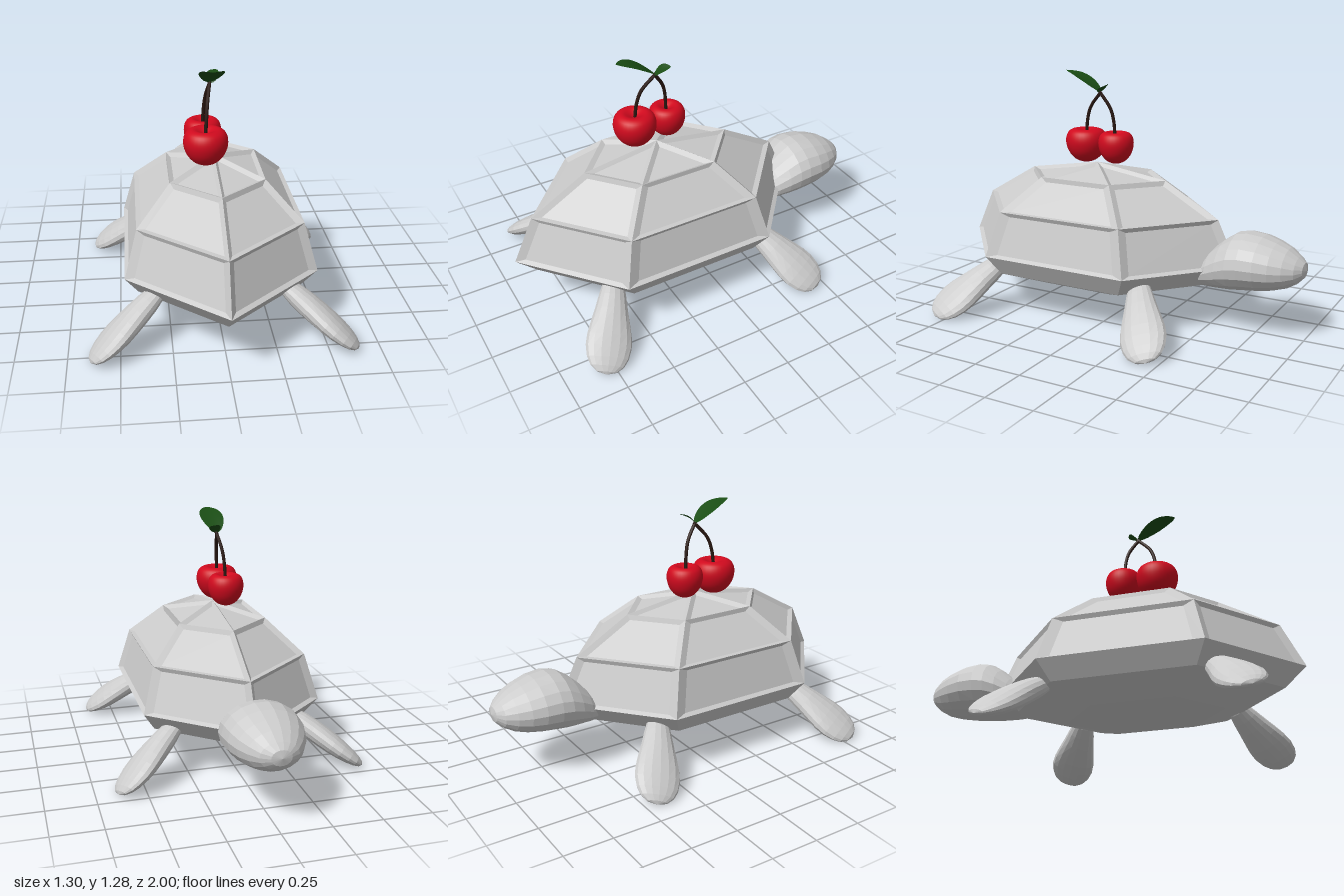
import * as THREE from 'three';

const V = (x, y, z) => new THREE.Vector3(x, y, z);
const grey = new THREE.MeshStandardMaterial({ color: 0xcccccc, flatShading: true });
const red = new THREE.MeshStandardMaterial({ color: 0xd00a1e });
const brown = new THREE.MeshStandardMaterial({ color: 0x2a1812 });
const green = new THREE.MeshStandardMaterial({ color: 0x1a4d14, side: THREE.DoubleSide });

function mesh(name, geometry, material) {
  const m = new THREE.Mesh(geometry, material);
  m.name = name;
  return m;
}

// Faceted geometry from flat polygons (corners counter-clockwise), empty triangles dropped
function polygons(faces) {
  const points = [];
  for (const f of faces)
    for (let i = 1; i < f.length - 1; i++) {
      const tri = new THREE.Triangle(f[0], f[i], f[i + 1]);
      if (tri.getArea() > 1e-9) points.push(f[0], f[i], f[i + 1]);
    }
  const g = new THREE.BufferGeometry().setFromPoints(points);
  g.computeVertexNormals();
  return g;
}

// Loft of elliptical rings along z: [z, centre y, half width, half height]
function loft(rings, sides = 18) {
  const at = ([z, cy, w, h], j) => {
    const a = (j / sides) * Math.PI * 2;
    return V(Math.cos(a) * w, cy + Math.sin(a) * h, z);
  };
  const faces = [];
  for (let r = 0; r < rings.length - 1; r++)
    for (let j = 0; j < sides; j++)
      faces.push([at(rings[r], j), at(rings[r], j + 1), at(rings[r + 1], j + 1), at(rings[r + 1], j)]);
  return polygons(faces);
}

// Six-sided dome with recessed panels above, plain facets below
function shell() {
  const corner = (row, i) => {
    const t = (row * Math.PI) / 6, a = (i * Math.PI) / 3, r = 0.82 * Math.cos(t);
    return V(0.66 * r * Math.sin(a), 0.33 + (row > 0 ? 0.47 : 0.202) * Math.sin(t), r * Math.cos(a));
  };
  const faces = [];
  for (let row = -3; row < 3; row++)
    for (let i = 0; i < 6; i++) {
      let f = [corner(row, i), corner(row, i + 1), corner(row + 1, i + 1), corner(row + 1, i)];
      if (row < 0) { faces.push(f); continue; }
      if (row === 2) f = f.slice(0, 3);
      const c = f.reduce((s, p) => s.add(p), V(0, 0, 0)).divideScalar(f.length);
      const n = new THREE.Triangle(f[0], f[1], f[2]).getNormal(V(0, 0, 0));
      const inner = f.map(p => p.clone().lerp(c, row === 2 ? 0.22 : 0.15).addScaledVector(n, -0.016));
      faces.push(inner);
      f.forEach((p, k) => {
        const m = (k + 1) % f.length;
        faces.push([p, f[m], inner[m], inner[k]]);
      });
    }
  return polygons(faces);
}

// Flattened teardrop flipper, running outward and down from the shell
function flipper(sx, sz) {
  const start = V(sx * 0.285, 0.28, 0.18 + sz * 0.405);
  const axis = V(sx * 0.355, -0.262, sz * 0.225);
  const length = axis.length();
  const profile = [[0, 0, 0], [0.03, 0.032, 0.025], [0.1, 0.056, 0.043], [0.22, 0.07, 0.053], [0.36, 0.084, 0.057],
    [0.5, 0.1, 0.056], [0.62, 0.112, 0.053], [0.73, 0.115, 0.047], [0.84, 0.104, 0.038], [0.92, 0.083, 0.028],
    [0.975, 0.05, 0.016], [1, 0, 0]];
  const g = loft(profile.map(([t, w, h]) => [t * length, 0, w, h]), 16);
  const z = axis.clone().normalize();
  const y = V(sx * 0.262, 0.355, 0).normalize();
  const x = y.clone().cross(z);
  g.applyMatrix4(new THREE.Matrix4().makeBasis(x, y, z).setPosition(start));
  return g;
}

// Round fruit with a dimpled top
function cherry(r, h) {
  const shape = [[0, 0], [0.3, 0.03], [0.6, 0.13], [0.85, 0.32], [0.98, 0.55], [0.98, 0.75], [0.87, 0.91],
    [0.68, 0.99], [0.5, 1], [0.3, 0.95], [0.12, 0.89], [0, 0.87]];
  const curve = new THREE.SplineCurve(shape.map(([x, y]) => new THREE.Vector2(x * r, y * h)));
  const pts = curve.getPoints(36);
  pts.forEach(p => { p.x = Math.max(0, p.x); });
  return new THREE.LatheGeometry(pts, 32);
}

// Thin leaf following a curve, slightly folded along its middle
function leaf(points, halfWidth, across) {
  const curve = new THREE.CatmullRomCurve3(points);
  const g = new THREE.PlaneGeometry(2, 1, 4, 14);
  const p = g.attributes.position;
  for (let i = 0; i < p.count; i++) {
    const t = p.getY(i) + 0.5, s = p.getX(i);
    const w = halfWidth * Math.pow(Math.sin(Math.PI * Math.pow(t, 0.9)), 0.7) || 0;
    const q = curve.getPoint(t).addScaledVector(across, s * w);
    p.setXYZ(i, q.x, q.y + Math.abs(s) * w * 0.1, q.z);
  }
  g.computeVertexNormals();
  return g;
}

export function createModel() {
  const group = new THREE.Group();

  const dome = mesh('shell', shell(), grey);
  dome.position.z = 0.18;
  group.add(dome);

  // Egg-shaped head, partly inside the shell
  group.add(mesh('head', loft([
    [-1, 0.37, 0, 0], [-0.99, 0.369, 0.05, 0.038], [-0.96, 0.367, 0.095, 0.067], [-0.91, 0.37, 0.135, 0.1],
    [-0.85, 0.374, 0.167, 0.122], [-0.78, 0.379, 0.188, 0.139], [-0.7, 0.379, 0.195, 0.148],
    [-0.64, 0.37, 0.192, 0.146], [-0.58, 0.349, 0.178, 0.127], [-0.52, 0.322, 0.155, 0.102],
    [-0.48, 0.302, 0.13, 0.082], [-0.44, 0.29, 0, 0]]), grey));

  for (const [sx, side] of [[1, 'left'], [-1, 'right']])
    for (const [sz, end] of [[1, 'Rear'], [-1, 'Front']])
      group.add(mesh(side + end + 'Flipper', flipper(sx, sz), grey));

  // Pair of cherries on top
  const topping = new THREE.Group();
  topping.name = 'cherries';
  const fruits = [
    [0.112, 0.182, V(-0.05, 0.785, 0.277), [V(-0.05, 0.94, 0.275), V(-0.045, 1.02, 0.265), V(-0.038, 1.09, 0.24), V(-0.02, 1.175, 0.165)]],
    [0.096, 0.17, V(-0.05, 0.79, 0.092), [V(-0.05, 0.93, 0.098), V(-0.045, 1.02, 0.103), V(-0.037, 1.09, 0.12), V(-0.02, 1.175, 0.175)]]];
  for (const [r, h, at, path] of fruits) {
    const fruit = mesh('cherry', cherry(r, h), red);
    fruit.position.copy(at);
    topping.add(fruit, mesh('stem', new THREE.TubeGeometry(new THREE.CatmullRomCurve3(path), 16, 0.009, 8), brown));
  }
  topping.add(
    mesh('largeLeaf', leaf([V(-0.025, 1.17, 0.165), V(-0.02, 1.225, 0.24), V(-0.018, 1.262, 0.31), V(-0.02, 1.282, 0.38)],
      0.063, V(1, 0, 0)), green),
    mesh('smallLeaf', leaf([V(-0.025, 1.17, 0.175), V(-0.005, 1.2, 0.145), V(0.025, 1.218, 0.105)],
      0.032, V(0.75, -0.35, 0.55)), green));
  group.add(topping);
  return group;
}
